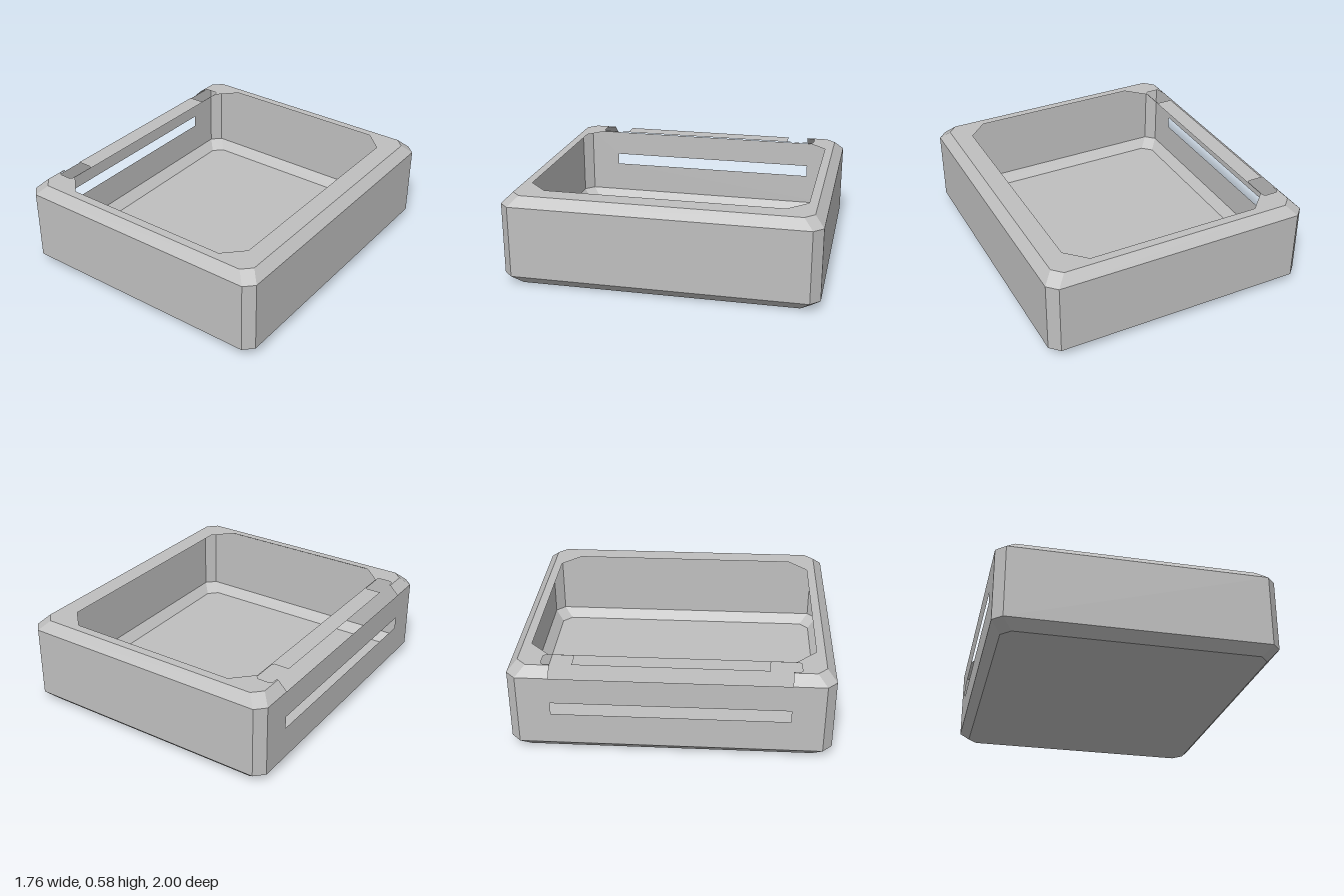
import * as THREE from 'three';

const X = 0.88, Z = 1, H = 0.585, C = 0.06; // half width, half depth, height, chamfer
const CUT = 0.735;                          // half length of the side slot and rim cutout

// Octagon with corner cut c, as [x, z] points
const octagon = (x, z, c) => [
  [x, z - c], [x, c - z], [x - c, -z], [c - x, -z],
  [-x, c - z], [-x, z - c], [c - x, z], [x - c, z],
];
const toPoints = (list) => list.map(([x, y]) => new THREE.Vector2(x, y));

// Flat-shaded quads, each given as four corners
function quads(list) {
  const pos = [];
  for (const [a, b, c, d] of list) pos.push(...a, ...b, ...c, ...a, ...c, ...d);
  const g = new THREE.BufferGeometry();
  g.setAttribute('position', new THREE.Float32BufferAttribute(pos, 3));
  g.computeVertexNormals();
  return g;
}

// Band between two octagons, leaving out one side if asked
function band(lo, y0, hi, y1, skip = -1) {
  const list = [];
  lo.forEach(([x, z], i) => {
    if (i === skip) return;
    const j = (i + 1) % 8;
    list.push([[x, y0, z], [lo[j][0], y0, lo[j][1]], [hi[j][0], y1, hi[j][1]], [hi[i][0], y1, hi[i][1]]]);
  });
  return quads(list);
}

export function createModel() {
  const group = new THREE.Group();
  const grey = new THREE.MeshStandardMaterial({ color: 0xbfbfbf, side: THREE.DoubleSide });
  grey.name = 'plainGrey';
  const add = (name, geometry) => {
    const mesh = new THREE.Mesh(geometry, grey);
    mesh.name = name;
    group.add(mesh);
  };

  const outer = octagon(X, Z, C);
  const inner = octagon(X - C, Z - C, C);
  const rightSide = 4; // the -x side of the octagon

  // Thin shell: floor, chamfers and walls
  add('floor', new THREE.ShapeGeometry(new THREE.Shape(toPoints(inner))).rotateX(Math.PI / 2));
  add('bottomChamfer', band(inner, 0, outer, C));
  add('walls', band(outer, C, outer, H - C, rightSide));
  add('topChamfer', band(outer, H - C, inner, H, rightSide));

  // Wall with the long slot
  const wallZ = Z - C;
  const wall = new THREE.Shape(toPoints([[-wallZ, C], [wallZ, C], [wallZ, H - C], [-wallZ, H - C]]));
  wall.holes.push(new THREE.Path(toPoints([[-CUT, 0.27], [-CUT, 0.35], [CUT, 0.35], [CUT, 0.27]])));
  add('slottedWall', new THREE.ShapeGeometry(wall).rotateY(-Math.PI / 2).translate(-X, 0, 0));

  // Remaining ends of the chamfer above the slotted wall
  const xi = C - X;
  add('chamferEnds', quads([
    [[-X, H - C, -wallZ], [-X, H - C, -CUT], [xi, H, -CUT], [xi, H, C - wallZ]],
    [[-X, H - C, CUT], [-X, H - C, wallZ], [xi, H, wallZ - C], [xi, H, CUT]],
  ]));

  // Rim with the two pockets and the rail between them
  const notch = [
    [-0.76, 0.94], [-0.82, 0.88], [-0.82, CUT], [-0.81, CUT], [-0.81, 0.775], [-0.795, 0.79],
    [-0.715, 0.79], [-0.702, 0.775], [-0.702, 0.61], [-0.712, 0.6], [-0.81, 0.6],
  ];
  const mirrored = notch.map(([x, z]) => [x, -z]).reverse();
  const rim = new THREE.Shape(toPoints([
    [0.76, -0.94], [0.82, -0.88], [0.82, 0.88], [0.76, 0.94], ...notch, ...mirrored,
  ]));
  rim.holes.push(new THREE.Path(toPoints(octagon(0.695, 0.885, 0.125))));
  add('rim', new THREE.ShapeGeometry(rim).rotateX(-Math.PI / 2).translate(0, H, 0));

  return group;
}
